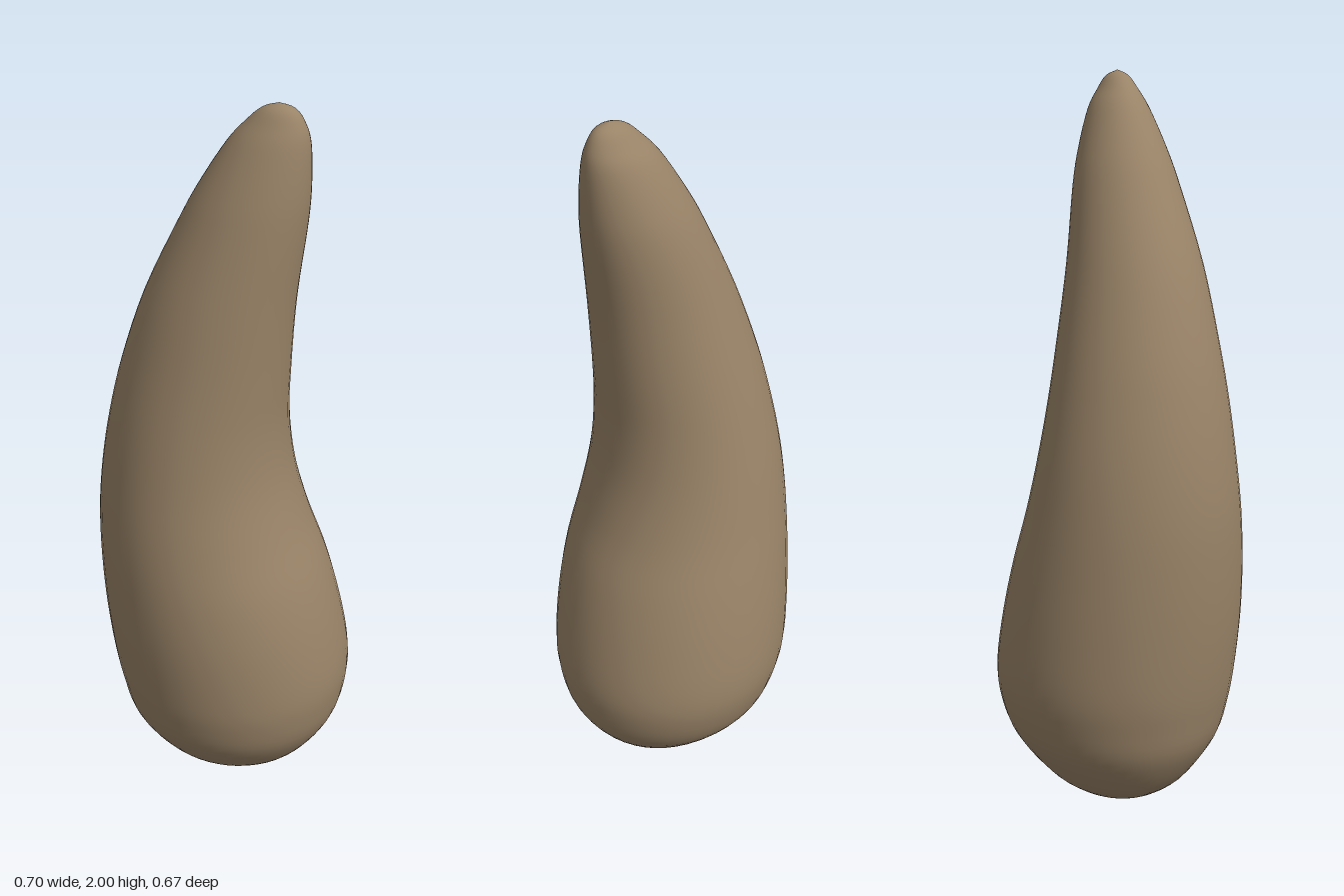
import * as THREE from 'three';

// Horn cross-sections: [y, left x, right x, back z, front z]
const SECTIONS = [
  [0, 0.02, 0.02, 0.02, 0.02],
  [0.02, -0.1, 0.13, -0.09, 0.11],
  [0.05, -0.165, 0.19, -0.15, 0.16],
  [0.1, -0.225, 0.255, -0.21, 0.215],
  [0.2, -0.288, 0.32, -0.288, 0.285],
  [0.3, -0.315, 0.345, -0.325, 0.315],
  [0.4, -0.333, 0.346, -0.335, 0.328],
  [0.55, -0.346, 0.32, -0.32, 0.335],
  [0.7, -0.352, 0.28, -0.295, 0.33],
  [0.85, -0.35, 0.225, -0.264, 0.315],
  [1.0, -0.335, 0.185, -0.235, 0.295],
  [1.15, -0.308, 0.17, -0.205, 0.276],
  [1.3, -0.27, 0.175, -0.175, 0.255],
  [1.5, -0.2, 0.19, -0.135, 0.225],
  [1.7, -0.105, 0.215, -0.1, 0.182],
  [1.8, -0.05, 0.222, -0.075, 0.155],
  [1.9, 0.015, 0.22, -0.04, 0.12],
  [1.95, 0.06, 0.208, -0.01, 0.095],
  [1.985, 0.1, 0.185, 0.015, 0.073],
  [2.0, 0.143, 0.143, 0.045, 0.045],
];

// Skin smoothly interpolated elliptical rings, closed by a point at each end
function hornGeometry(rings = 76, sides = 48) {
  const spline = (fn) => new THREE.CatmullRomCurve3(SECTIONS.map(fn), false, 'catmullrom', 0.5);
  const centre = spline(([y, l, r, b, f]) => new THREE.Vector3((l + r) / 2, y, (b + f) / 2));
  const radius = spline(([y, l, r, b, f]) => new THREE.Vector3((r - l) / 2, 0, (f - b) / 2));
  const positions = [];
  const index = [];

  const first = SECTIONS[0], last = SECTIONS[SECTIONS.length - 1];
  positions.push(first[1], first[0], first[3]);
  for (let i = 1; i < rings; i++) {
    const c = centre.getPoint(i / rings), r = radius.getPoint(i / rings);
    for (let j = 0; j < sides; j++) {
      const a = (j / sides) * Math.PI * 2;
      positions.push(c.x + r.x * Math.sin(a), c.y, c.z + r.z * Math.cos(a));
    }
  }
  positions.push(last[1], last[0], last[3]);

  const tip = positions.length / 3 - 1;
  const at = (ring, j) => 1 + ring * sides + (j % sides);
  for (let j = 0; j < sides; j++) {
    index.push(0, at(0, j + 1), at(0, j));
    for (let i = 0; i < rings - 2; i++) {
      index.push(at(i, j), at(i, j + 1), at(i + 1, j + 1));
      index.push(at(i, j), at(i + 1, j + 1), at(i + 1, j));
    }
    index.push(at(rings - 2, j), at(rings - 2, j + 1), tip);
  }

  const geometry = new THREE.BufferGeometry();
  geometry.setAttribute('position', new THREE.Float32BufferAttribute(positions, 3));
  geometry.setIndex(index);
  geometry.computeVertexNormals();
  return geometry;
}

export function createModel() {
  const group = new THREE.Group();
  group.name = 'curvedHorn';

  const hornMaterial = new THREE.MeshStandardMaterial({ color: 0x9a8468 });
  hornMaterial.name = 'horn brown';

  const horn = new THREE.Mesh(hornGeometry(), hornMaterial);
  horn.name = 'horn';
  group.add(horn);
  return group;
}
